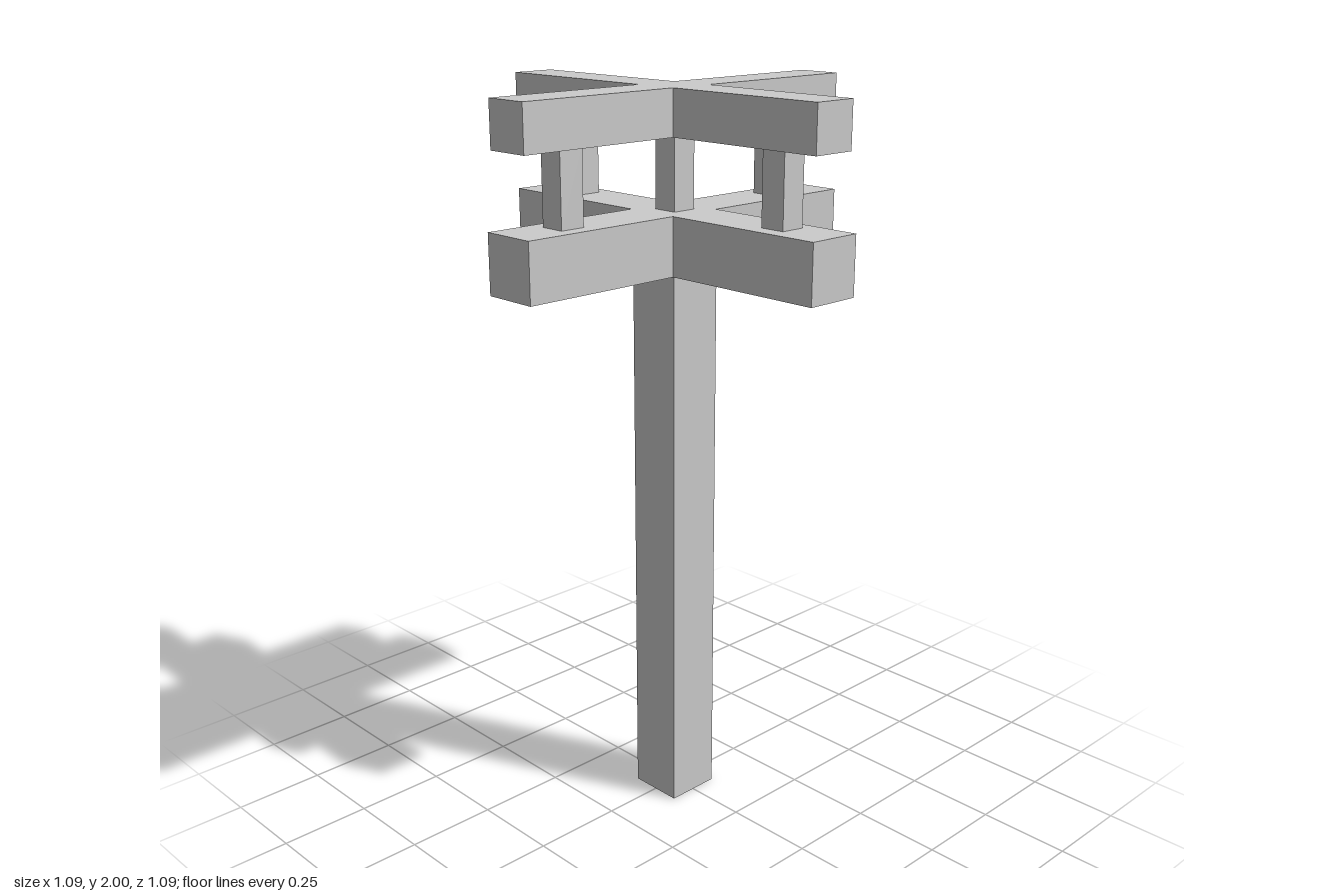
import * as THREE from 'three';

const material = new THREE.MeshStandardMaterial({ color: 0xcccccc, flatShading: true });

// Box given by its limits on each axis
function block(name, [x0, x1], [y0, y1], [z0, z1]) {
  const mesh = new THREE.Mesh(new THREE.BoxGeometry(x1 - x0, y1 - y0, z1 - z0), material);
  mesh.position.set((x0 + x1) / 2, (y0 + y1) / 2, (z0 + z1) / 2);
  mesh.name = name;
  return mesh;
}

// Plus-shaped slab: overall x and z limits, then the limits of each arm's width
function cross(name, [x0, x1], [z0, z1], [ax0, ax1], [az0, az1], bottom, top) {
  const outline = [
    [x0, az0], [ax0, az0], [ax0, z0], [ax1, z0], [ax1, az0], [x1, az0],
    [x1, az1], [ax1, az1], [ax1, z1], [ax0, z1], [ax0, az1], [x0, az1],
  ].map(([x, z]) => new THREE.Vector2(x, z));
  const geometry = new THREE.ExtrudeGeometry(new THREE.Shape(outline), {
    depth: top - bottom, bevelEnabled: false,
  });
  geometry.rotateX(Math.PI / 2).translate(0, top, 0);
  const mesh = new THREE.Mesh(geometry, material);
  mesh.name = name;
  return mesh;
}

export function createModel() {
  const model = new THREE.Group();
  model.name = 'crossTopPost';

  // Square main column
  model.add(block('column', [-0.077, 0.077], [0, 1.53], [-0.077, 0.077]));

  // Thick lower cross and thinner, slightly offset upper cross
  model.add(cross('lowerCross', [-0.545, 0.544], [-0.543, 0.543], [-0.081, 0.073], [-0.077, 0.077], 1.53, 1.685));
  model.add(cross('upperCross', [-0.547, 0.541], [-0.546, 0.54], [-0.077, 0.047], [-0.051, 0.073], 1.88, 2));

  // Short spacer posts: one in the middle and one on each arm
  const half = 0.035;
  for (const [x, z] of [[0, 0], [-0.375, 0], [0.37, 0], [0, -0.372], [0, 0.372]]) {
    model.add(block('spacerPost', [x - half, x + half], [1.685, 1.88], [z - half, z + half]));
  }
  return model;
}
